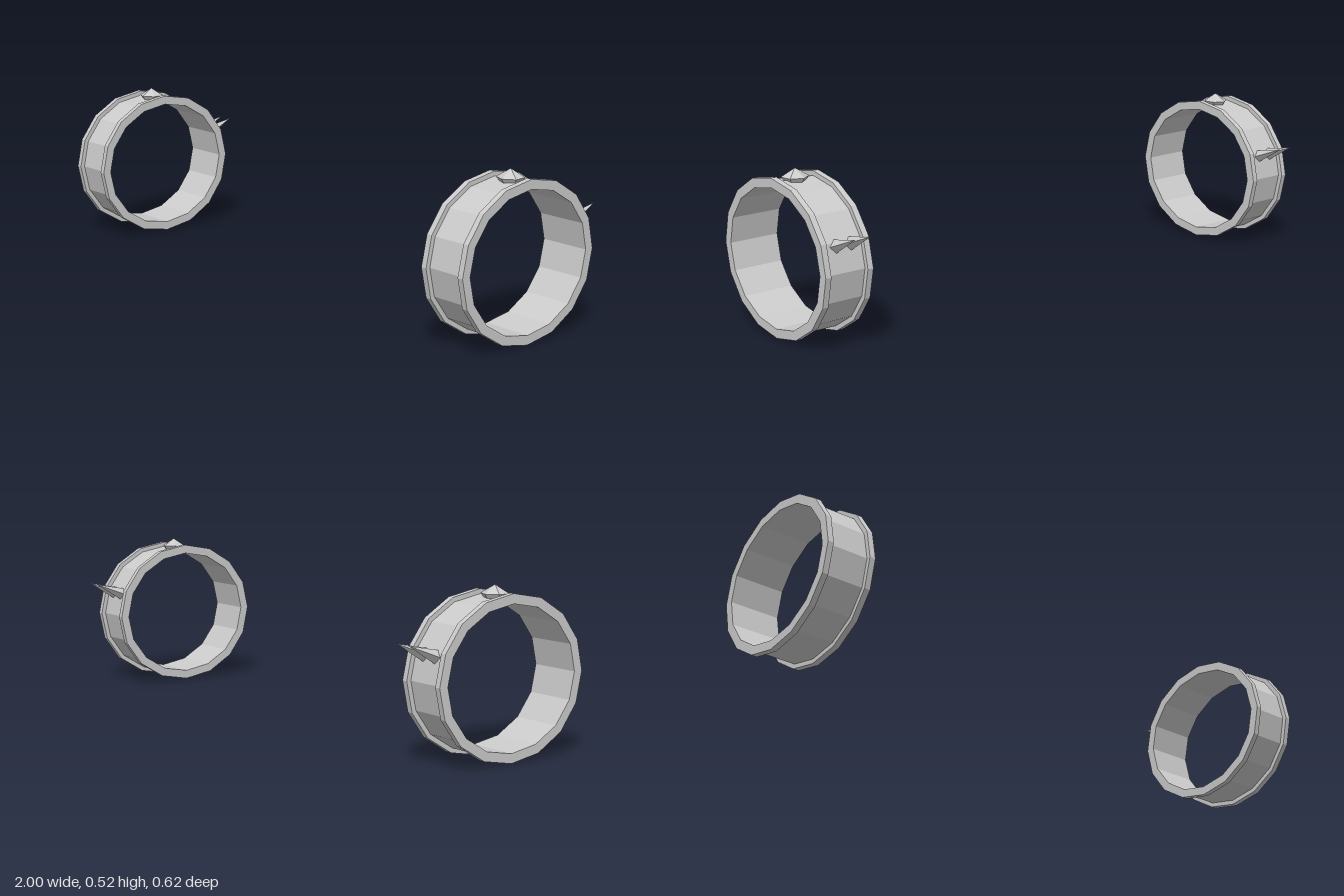
import * as THREE from 'three';

const CENTER_Y = 0.252, CENTER_Z = 0.035, HALF = 0.085;
const INNER = 0.221, BAND = 0.236, RIM = 0.251, LIP = 0.02;
const STRETCH = 0.023; // the hoop is slightly longer in z than in y

const material = new THREE.MeshStandardMaterial({ color: 0xcccccc, flatShading: true });

// Closed ring of 16 sides around the x axis; profile is [radius, x], outer side first
function ring(name, profile) {
  const points = [...profile, profile[0]].map(([r, x]) => new THREE.Vector2(r, x));
  const geometry = new THREE.LatheGeometry(points, 16).rotateZ(-Math.PI / 2);
  const p = geometry.attributes.position;
  for (let i = 0; i < p.count; i++) {
    const r = Math.hypot(p.getY(i), p.getZ(i));
    p.setZ(i, p.getZ(i) * (r + STRETCH) / r);
  }
  geometry.computeVertexNormals();
  const mesh = new THREE.Mesh(geometry, material);
  mesh.name = name;
  mesh.position.set(0, CENTER_Y, CENTER_Z);
  return mesh;
}

function rectangle(r0, r1, x0, x1) {
  return [[r1, x0], [r1, x1], [r0, x1], [r0, x0]];
}

// Four-sided spike from a base point to a tip, pointing up and back
function spike(x) {
  const base = new THREE.Vector3(x, 0.331, -0.203);
  const tip = new THREE.Vector3(x, 0.372, -0.307);
  const axis = tip.clone().sub(base);
  const mesh = new THREE.Mesh(new THREE.ConeGeometry(0.021, axis.length(), 4), material);
  mesh.name = 'spike';
  mesh.position.copy(base).add(tip).multiplyScalar(0.5);
  mesh.quaternion.setFromUnitVectors(new THREE.Vector3(0, 1, 0), axis.normalize());
  return mesh;
}

// Faceted stud: a low six-sided point over a tapered root
function stud() {
  const profile = [[0, 0.478], [0.03, 0.478], [0.043, 0.496], [0, 0.522]];
  const geometry = new THREE.LatheGeometry(profile.map(([r, y]) => new THREE.Vector2(r, y)), 6);
  const mesh = new THREE.Mesh(geometry, material);
  mesh.name = 'stud';
  mesh.position.z = CENTER_Z;
  mesh.rotation.y = 0.12;
  return mesh;
}

function bracelet(name, x) {
  const group = new THREE.Group();
  group.name = name;
  group.position.x = x;
  group.add(
    ring('band', rectangle(INNER, BAND, -HALF, HALF)),
    ring('rightRim', rectangle(BAND, RIM, -HALF, -HALF + LIP)),
    ring('leftRim', rectangle(BAND, RIM, HALF - LIP, HALF)),
    stud(), spike(-0.027), spike(0.026)
  );
  return group;
}

export function createModel() {
  const model = new THREE.Group();
  model.name = 'spikedBracelets';
  model.add(bracelet('rightBracelet', -1 + HALF), bracelet('leftBracelet', 1 - HALF));
  return model;
}
